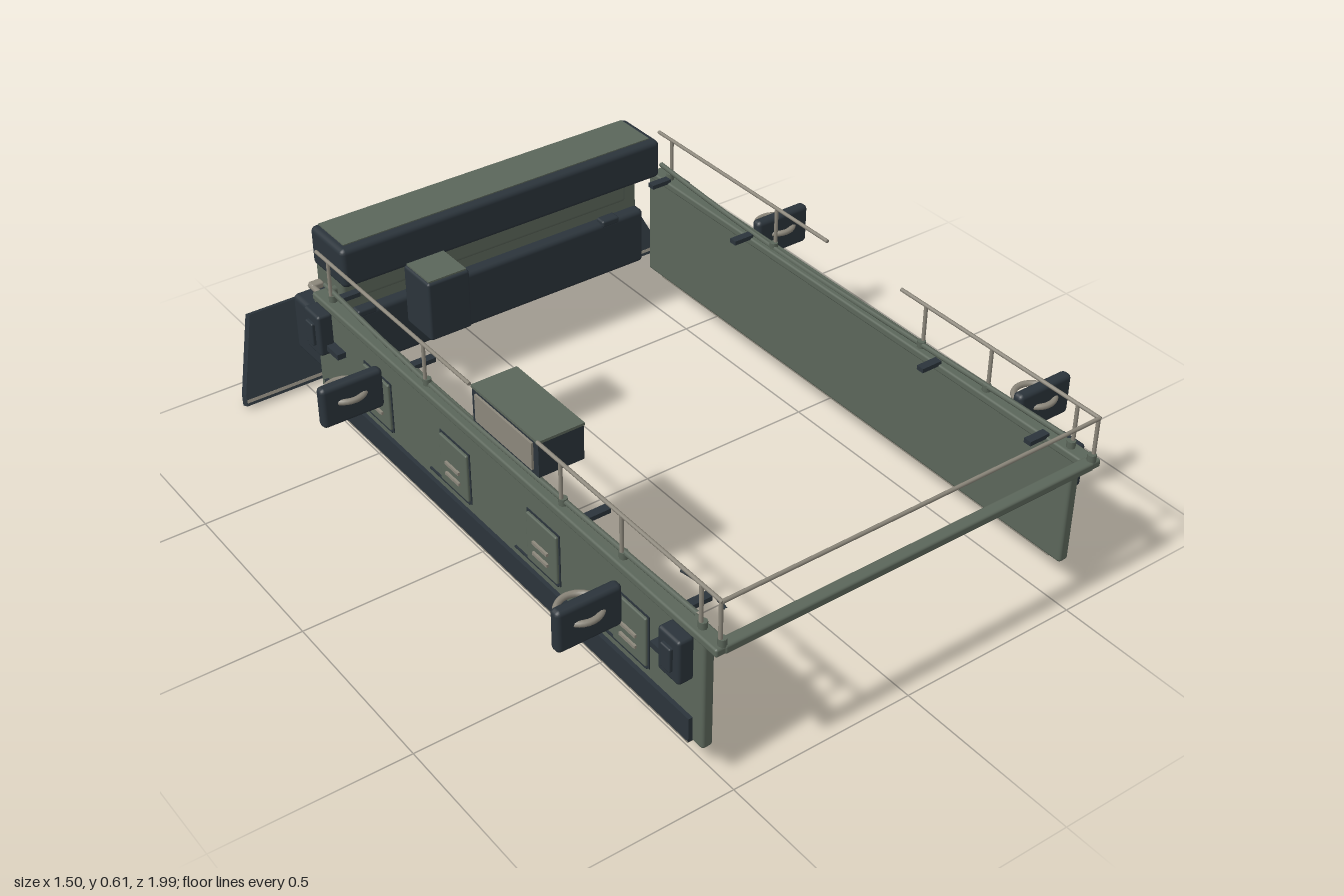
import * as THREE from 'three';
import { RoundedBoxGeometry } from 'three/addons/geometries/RoundedBoxGeometry.js';

const mat = (name, color) => {
  const m = new THREE.MeshStandardMaterial({ color });
  m.name = name;
  return m;
};

export function createModel() {
  const green = mat('olive grey', 0x5b665a);
  const dark = mat('dark slate', 0x2b343b);
  const tan = mat('bare metal', 0x8c877b);
  const root = new THREE.Group();
  root.name = 'armourKit';

  const add = (parent, name, geo, m) => {
    const mesh = new THREE.Mesh(geo, m);
    mesh.name = name;
    parent.add(mesh);
    return mesh;
  };
  // Box given by its minimum and maximum along each axis; r rounds the edges
  const box = (parent, name, m, x0, x1, y0, y1, z0, z1, r = 0) => {
    const s = [x1 - x0, y1 - y0, z1 - z0];
    const geo = r ? new RoundedBoxGeometry(...s, 2, r) : new THREE.BoxGeometry(...s);
    const mesh = add(parent, name, geo, m);
    mesh.position.set((x0 + x1) / 2, (y0 + y1) / 2, (z0 + z1) / 2);
    return mesh;
  };
  // Round bar between two points
  const rod = (parent, name, m, a, b, r) => {
    const p = new THREE.Vector3(...a), q = new THREE.Vector3(...b);
    const mesh = add(parent, name, new THREE.CylinderGeometry(r, r, p.distanceTo(q), 8), m);
    mesh.position.copy(p).add(q).multiplyScalar(0.5);
    mesh.quaternion.setFromUnitVectors(new THREE.Vector3(0, 1, 0), q.sub(p).normalize());
    return mesh;
  };

  // Side armour, built for the left and mirrored through s
  for (const s of [1, -1]) {
    const side = new THREE.Group();
    side.name = s > 0 ? 'leftSide' : 'rightSide';
    root.add(side);
    const b = (name, m, x0, x1, ...rest) =>
      box(side, name, m, Math.min(s * x0, s * x1), Math.max(s * x0, s * x1), ...rest);

    b('sidePanel', green, 0.515, 0.545, 0.1, 0.41, -0.7, 0.945, 0.008);
    b('topBeam', green, 0.51, 0.553, 0.4, 0.422, -0.69, 0.995, 0.006);
    b('skirtStrip', dark, 0.54, 0.556, 0.104, 0.17, -0.66, 0.91);
    b('skirtEdge', tan, 0.525, 0.55, 0.09, 0.104, -0.65, 0.9);
    b('rearLink', tan, 0.5, 0.535, 0.4, 0.418, -0.745, -0.72, 0.005);
    rod(side, 'rearLinkBar', tan, [s * 0.53, 0.409, -0.68], [s * 0.53, 0.409, -0.74], 0.008);

    // Access hatches with double handles
    for (const z of [0.69, 0.35, -0.025, -0.385]) {
      b('hatchFrame', dark, 0.543, 0.547, 0.194, 0.341, z - 0.066, z + 0.066);
      b('hatch', green, 0.544, 0.554, 0.2, 0.336, z - 0.061, z + 0.061, 0.004);
      for (const y of [0.237, 0.268])
        b('hatchHandle', tan, 0.552, 0.56, y - 0.004, y + 0.004, z - 0.03, z + 0.03);
      b('hatchLedge', dark, 0.544, 0.55, 0.192, 0.196, z - 0.12, z + 0.06);
    }

    // Lamp boxes at the corners
    for (const [z0, z1, arm] of [[0.84, 0.915, 0.82], [-0.675, -0.6, -0.575]]) {
      b('cornerBox', dark, 0.546, 0.588, 0.283, 0.402, z0, z1, 0.008);
      b('cornerBoxCap', dark, 0.58, 0.597, 0.31, 0.375, z0 + 0.02, z1 - 0.02, 0.004);
      b('cornerBoxArm', dark, 0.546, 0.57, 0.297, 0.313, arm - 0.03, arm + 0.03);
    }

    // Outboard plates with ring handles
    for (const z of [0.693, -0.305]) {
      b('outerPlate', dark, 0.58, 0.75, 0.305, 0.418, z - 0.016, z + 0.016, 0.012);
      const ring = add(side, 'ringHandle', new THREE.TorusGeometry(0.05, 0.008, 8, 32), tan);
      ring.rotation.x = Math.PI / 2;
      ring.position.set(s * 0.667, 0.368, z - 0.024);
    }

    // Inner mounting tabs
    for (const z of [-0.615, -0.25, 0.483, 0.85])
      b('innerTab', dark, 0.46, 0.52, 0.418, 0.43, z - 0.011, z + 0.011);

    // Guard rail in two runs with posts
    for (const [z0, z1] of [[0.32, 0.99], [-0.68, 0.04]])
      rod(side, 'guardRail', tan, [s * 0.535, 0.54, z0], [s * 0.535, 0.54, z1], 0.005);
    for (const z of [0.985, 0.92, 0.64, 0.41, -0.165, -0.62]) {
      rod(side, 'railPost', tan, [s * 0.535, 0.415, z], [s * 0.535, 0.54, z], 0.005);
      rod(side, 'postFoot', green, [s * 0.53, 0.42, z], [s * 0.53, 0.44, z], 0.011);
    }

    // Sagging cable along the top beam
    const pts = [[0.9, 0.443], [0.6, 0.436], [0.25, 0.428], [-0.1, 0.424], [-0.4, 0.434], [-0.66, 0.45]];
    const path = new THREE.CatmullRomCurve3(pts.map(([z, y]) => new THREE.Vector3(s * 0.528, y, z)));
    add(side, 'cable', new THREE.TubeGeometry(path, 30, 0.007, 6), green);
  }

  // Front crossbar and rail
  box(root, 'frontBar', green, -0.53, 0.53, 0.4, 0.423, 0.965, 0.997, 0.006);
  rod(root, 'frontRail', tan, [-0.535, 0.54, 0.988], [0.535, 0.54, 0.988], 0.005);

  // Short curved strap at the front right
  const strap = new THREE.QuadraticBezierCurve3(
    new THREE.Vector3(-0.47, 0.44, 0.92), new THREE.Vector3(-0.458, 0.448, 0.845),
    new THREE.Vector3(-0.47, 0.44, 0.765));
  add(root, 'strap', new THREE.TubeGeometry(strap, 12, 0.004, 6), dark);

  // Roof boxes with green lids
  box(root, 'longBox', dark, -0.533, -0.41, 0.44, 0.535, 0.047, 0.32);
  box(root, 'longBoxLid', green, -0.535, -0.408, 0.534, 0.541, 0.045, 0.322);
  box(root, 'longBoxPanel', tan, -0.539, -0.532, 0.452, 0.526, 0.065, 0.3);
  box(root, 'smallBox', dark, -0.44, -0.322, 0.44, 0.603, -0.405, -0.29, 0.007);
  box(root, 'smallBoxLid', green, -0.434, -0.328, 0.6, 0.607, -0.4, -0.296);
  box(root, 'smallBoxPlate', tan, -0.41, -0.35, 0.49, 0.53, -0.41, -0.404);

  // Rear stowage, top to bottom
  const rear = new THREE.Group();
  rear.name = 'rearStowage';
  root.add(rear);
  box(rear, 'upperBin', dark, -0.495, 0.495, 0.44, 0.552, -0.785, -0.62, 0.014);
  box(rear, 'upperBinLid', green, -0.475, 0.475, 0.547, 0.555, -0.775, -0.645);
  box(rear, 'middleBin', green, -0.452, 0.452, 0.33, 0.416, -0.86, -0.72, 0.012);
  box(rear, 'backPlate', green, -0.503, 0.503, 0.27, 0.37, -0.765, -0.745, 0.008);
  box(rear, 'binSupport', green, -0.27, 0.27, 0.28, 0.335, -0.845, -0.82);
  box(rear, 'lowerBin', dark, -0.506, 0.506, 0.12, 0.29, -0.905, -0.712, 0.014);
  for (const x of [-0.39, 0.39])
    box(rear, 'lowerBinLatch', dark, x - 0.028, x + 0.028, 0.28, 0.3, -0.74, -0.706, 0.006);

  // Leaning rear blade: local y runs up the slope
  const blade = new THREE.Group();
  blade.name = 'rearBlade';
  blade.position.set(0, 0.008, -0.888);
  blade.rotation.x = -0.42;
  root.add(blade);
  const outline = new THREE.Shape();
  outline.moveTo(-0.685, 0).lineTo(0.685, 0).lineTo(0.68, 0.03).lineTo(0.605, 0.232)
    .lineTo(-0.605, 0.232).lineTo(-0.68, 0.03).closePath();
  const plate = new THREE.ExtrudeGeometry(outline, { depth: 0.03, bevelEnabled: false });
  plate.translate(0, 0, -0.015);
  add(blade, 'bladePlate', plate, dark);
  box(blade, 'cuttingEdge', tan, -0.682, 0.682, 0.008, 0.016, -0.018, 0.018);
  for (let i = -2; i <= 2; i++)
    box(blade, 'bladeRib', tan, i * 0.222 - 0.008, i * 0.222 + 0.008, 0.04, 0.215, 0.012, 0.034);

  return root;
}
